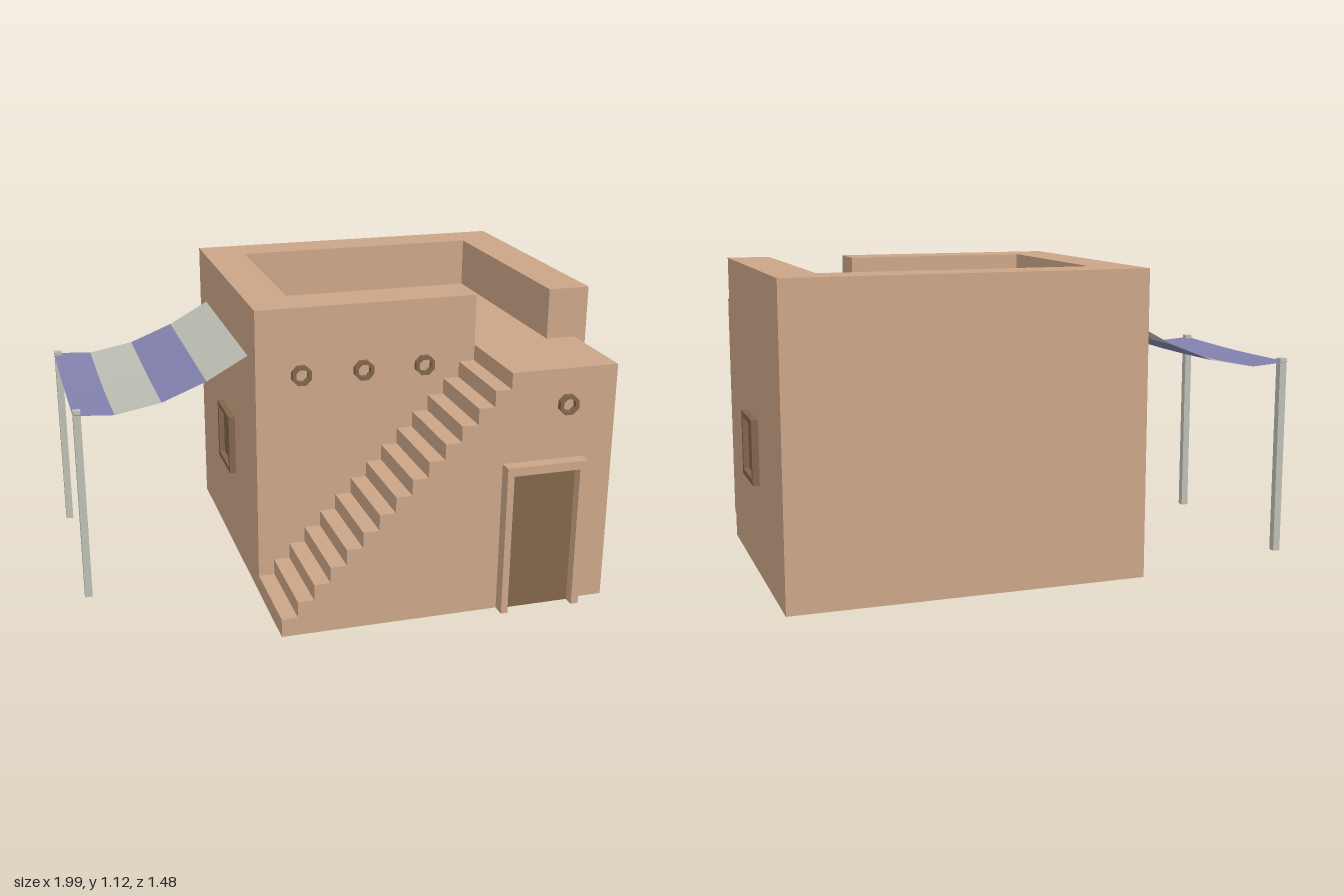
import * as THREE from 'three';

const material = (name, color, side = THREE.FrontSide) => {
  const m = new THREE.MeshStandardMaterial({ color, side });
  m.name = name;
  return m;
};

export function createModel() {
  const clay = material('clay', 0xcaa587, THREE.DoubleSide);
  const wood = material('dark wood', 0x80644a);
  const blue = material('blue cloth', 0x8181ae, THREE.DoubleSide);
  const pale = material('pale cloth', 0xbcbdb2, THREE.DoubleSide);
  const group = new THREE.Group();

  const add = (name, geometry, mat, x = 0, y = 0, z = 0) => {
    const mesh = new THREE.Mesh(geometry, mat);
    mesh.name = name;
    mesh.position.set(x, y, z);
    group.add(mesh);
    return mesh;
  };
  const box = (name, mat, x0, x1, y0, y1, z0, z1) =>
    add(name, new THREE.BoxGeometry(x1 - x0, y1 - y0, z1 - z0), mat,
      (x0 + x1) / 2, (y0 + y1) / 2, (z0 + z1) / 2);

  // Flat-shaded surface from four-cornered faces
  const quads = (list) => {
    const pos = list.flatMap(([a, b, c, d]) => [a, b, c, a, c, d].flat());
    const g = new THREE.BufferGeometry();
    g.setAttribute('position', new THREE.Float32BufferAttribute(pos, 3));
    g.computeVertexNormals();
    return g;
  };
  // Upright walls along a ground path of [x, z] points
  const walls = (name, path, y0, y1) => add(name, quads(path.slice(1).map(([x, z], i) => {
    const [px, pz] = path[i];
    return [[px, y0, pz], [x, y0, z], [x, y1, z], [px, y1, pz]];
  })), clay);
  // Level surface from an [x, z] outline
  const level = (name, outline, y) => {
    const shape = new THREE.Shape(outline.map(([x, z]) => new THREE.Vector2(x, -z)));
    add(name, new THREE.ShapeGeometry(shape).rotateX(-Math.PI / 2), clay, 0, y, 0);
  };

  const L = -0.342, R = 0.972, B = -0.738, F = 0.324;      // main block
  const IL = -0.18, IR = 0.81, IB = -0.574, IF = 0.161;    // roof terrace
  const SX = 0.512, AR = 0.924, AF = 0.687;                // stair top, annex
  const ROOF = 0.93, TOP = 1.125;

  // House shell, open underneath
  walls('outerWalls', [[AR, F], [R, F], [R, B], [L, B], [L, F], [SX, F]], 0, TOP);
  const inner = [[SX, F], [SX, IF], [IL, IF], [IL, IB], [IR, IB], [IR, F]];
  walls('parapetInside', inner, ROOF, TOP);
  walls('parapetFront', [[IR, F], [AR, F]], ROOF, TOP);
  level('parapetTop', [[L, F], ...inner.slice().slice(0, 6), [R, F], [R, B], [L, B]], TOP);
  level('terraceFloor', [[SX, AF], [AR, AF], [AR, F], ...inner.slice().reverse()], ROOF);
  walls('annexSide', [[AR, AF], [AR, F]], 0, ROOF);

  // Outside staircase with its stepped front wall
  const STEPS = 14, run = (SX - L) / STEPS, first = 0.07, rise = (ROOF - first) / STEPS;
  const profile = [[AR, ROOF], [AR, 0], [L, 0]];
  const stairFaces = [];
  for (let i = 0; i <= STEPS; i++) {
    const x = L + run * i, y = first + rise * i, low = i ? y - rise : 0;
    stairFaces.push([[x, low, F], [x, low, AF], [x, y, AF], [x, y, F]]);
    profile.push([x, y]);
    if (i < STEPS) {
      stairFaces.push([[x, y, AF], [x + run, y, AF], [x + run, y, F], [x, y, F]]);
      profile.push([x + run, y]);
    }
  }
  add('stairs', quads(stairFaces), clay);
  const front = new THREE.Shape(profile.map(([x, y]) => new THREE.Vector2(x, y)));
  add('annexFront', new THREE.ShapeGeometry(front), clay, 0, 0, AF);

  // Door and surround
  box('doorJambLeft', clay, 0.777, 0.806, 0, 0.585, AF, 0.738);
  box('doorJambRight', clay, 0.491, 0.517, 0, 0.585, AF, 0.738);
  box('doorLintel', clay, 0.517, 0.777, 0.552, 0.585, AF, 0.738);
  box('door', wood, 0.517, 0.777, 0, 0.552, AF, AF + 0.009);

  // Framed windows on both side walls
  const frame = new THREE.Shape([[-0.11, -0.12], [0.11, -0.12], [0.11, 0.12], [-0.11, 0.12]]
    .map((p) => new THREE.Vector2(...p)));
  frame.holes.push(new THREE.Path([[-0.09, -0.1], [-0.09, 0.1], [0.09, 0.1], [0.09, -0.1]]
    .map((p) => new THREE.Vector2(...p))));
  const frameGeo = new THREE.ExtrudeGeometry(frame, { depth: 0.025, bevelEnabled: false });
  for (const [side, x, s] of [['left', R, 1], ['right', L, -1]]) {
    add(side + 'WindowFrame', frameGeo, wood, x, 0.465, -0.176).rotation.y = s * Math.PI / 2;
    box(side + 'WindowPane', wood, x - 0.004, x + 0.004, 0.365, 0.565, -0.266, -0.086);
  }

  // Eight-sided clay pipe ends
  const octagon = (r) => Array.from({ length: 8 }, (_, i) => {
    const a = (i + 0.5) * Math.PI / 4;
    return new THREE.Vector2(r * Math.cos(a), r * Math.sin(a));
  });
  const ring = new THREE.Shape(octagon(0.04));
  ring.holes.push(new THREE.Path(octagon(0.025).reverse()));
  const ringGeo = new THREE.ExtrudeGeometry(ring, { depth: 0.021, bevelEnabled: false });
  for (const [x, y, z] of [[-0.17, 0.87, F], [0.07, 0.87, F], [0.31, 0.87, F], [0.733, 0.795, AF]])
    add('pipeEnd', ringGeo, wood, x, y, z);

  // Striped awning: each stripe joins two heights and sags mid-way
  const spans = [[-0.997, 0.745, 0.006], [-0.845, 0.734, 0.014], [-0.67, 0.766, 0.006],
    [-0.5, 0.833, 0], [L, 0.92, 0]];
  const Z0 = -0.61, Z1 = 0.199, N = 6;
  const point = ([x, y, sag], j) =>
    [x, y - sag * Math.sin(Math.PI * j / N), Z0 + (Z1 - Z0) * j / N];
  for (let i = 0; i < 4; i++) {
    const faces = [];
    for (let j = 0; j < N; j++)
      faces.push([point(spans[i], j), point(spans[i], j + 1),
        point(spans[i + 1], j + 1), point(spans[i + 1], j)]);
    add('awningStripe', quads(faces), i % 2 ? pale : blue);
  }

  // Awning posts
  for (const z of [-0.588, 0.174])
    box('awningPost', pale, -0.995, -0.967, 0, 0.757, z - 0.014, z + 0.014);

  return group;
}
